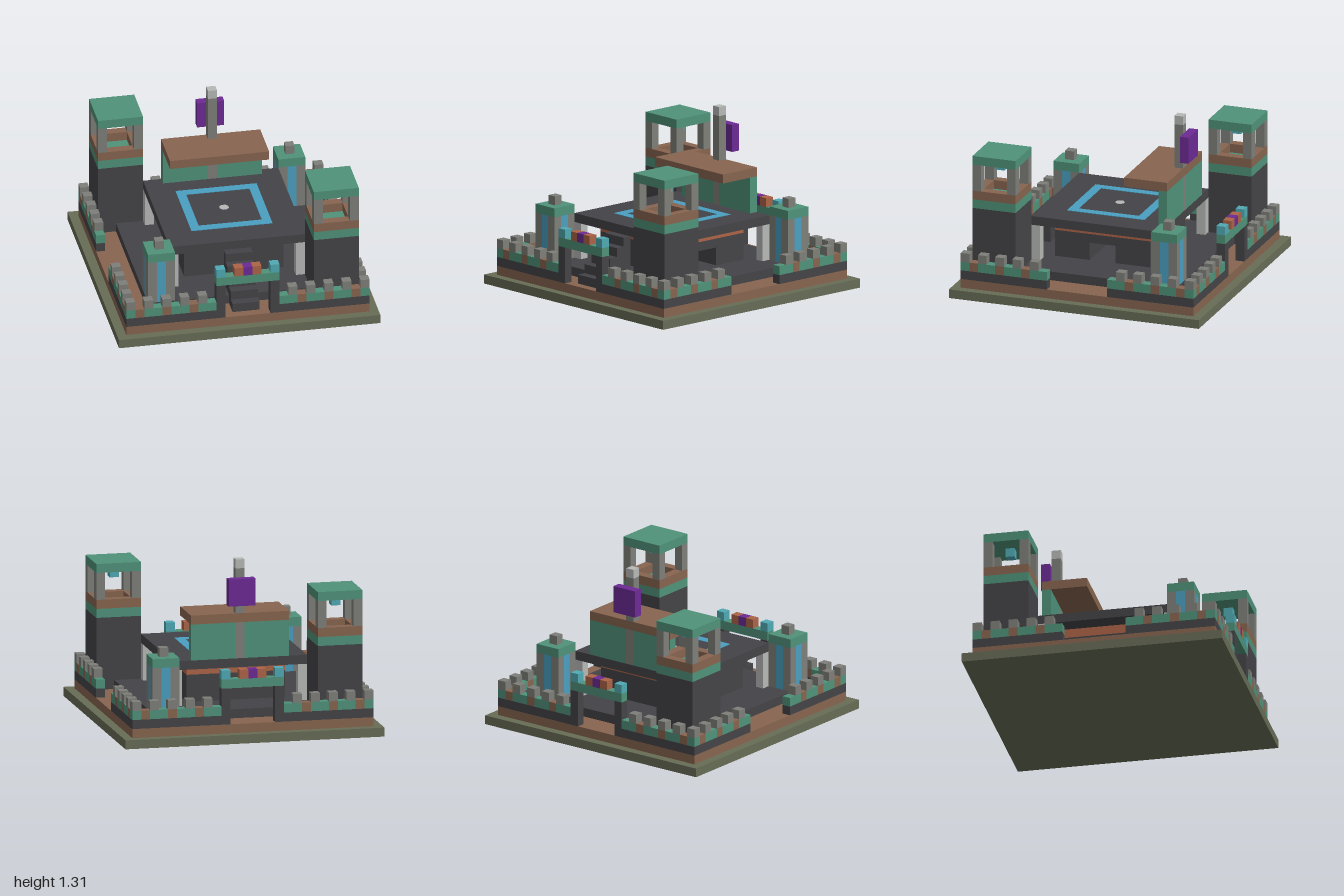
import * as THREE from 'three';

const U = 2 / 29; // one block
const COLORS = {
  olive: 0x676c56, brown: 0x87654f, charcoal: 0x444448, green: 0x4f927a, stone: 0x7e7f79,
  paleStone: 0xb7b9b7, terracotta: 0xac6447, purple: 0x6c2a94, cyan: 0x50aab4, blue: 0x4a9fc0,
};

export function createModel() {
  const model = new THREE.Group();
  model.name = 'fortress';
  const mats = {};
  for (const [name, color] of Object.entries(COLORS)) {
    mats[name] = new THREE.MeshStandardMaterial({ color });
    mats[name].name = name;
  }

  // Box given by its limits in block units
  const box = (parent, name, mat, x0, x1, y0, y1, z0, z1) => {
    const mesh = new THREE.Mesh(new THREE.BoxGeometry((x1 - x0) * U, (y1 - y0) * U, (z1 - z0) * U), mats[mat]);
    mesh.position.set((x0 + x1) / 2 * U, (y0 + y1) / 2 * U, (z0 + z1) / 2 * U);
    mesh.name = name;
    parent.add(mesh);
    return mesh;
  };
  // Square block column centred on x, z
  const column = (parent, name, mat, x, z, half, y0, y1) =>
    box(parent, name, mat, x - half, x + half, y0, y1, z - half, z + half);
  const group = (name, turn = 0) => {
    const g = new THREE.Group();
    g.name = name;
    g.rotation.y = turn;
    model.add(g);
    return g;
  };

  // Ground, foundation and courtyard floor
  column(model, 'ground', 'olive', 0, 0, 14.5, 0, 1);
  column(model, 'foundation', 'brown', 0, 0, 13.5, 1, 2);
  column(model, 'courtyardFloor', 'charcoal', 0, 0, 10.5, 2, 3);

  // Outer walls, each with an opening in the middle
  for (let side = 0; side < 4; side++) {
    const wall = group('outerWall', side * Math.PI / 2);
    box(wall, 'wallBase', 'charcoal', -13.5, -3.5, 2, 3, 12.5, 13.5);
    box(wall, 'wallBase', 'charcoal', 3.5, 12.5, 2, 3, 12.5, 13.5);
    for (let x = -13; x <= 12; x++) {
      if (Math.abs(x) < 4) continue;
      column(wall, 'wallBlock', x % 3 === 0 ? 'brown' : 'green', x, 13, 0.5, 3, 4);
      if (x % 2 !== 0) column(wall, 'merlon', 'stone', x, 13, 0.5, 4, 5);
    }
  }

  // Front and back gates
  for (const turn of [0, Math.PI]) {
    const gate = group('gate', turn);
    box(gate, 'gateBeam', 'green', -3.5, 3.5, 6, 7, 12.5, 13.5);
    column(gate, 'gateCrest', 'purple', 0, 13, 0.5, 7, 8);
    for (const s of [-1, 1]) {
      column(gate, 'gatePost', 'charcoal', 3 * s, 13, 0.5, 2, 6);
      column(gate, 'gateCrest', 'terracotta', s, 13, 0.5, 7, 8);
      column(gate, 'gateLamp', 'cyan', 3 * s, 13, 0.5, 7, 8);
    }
  }

  // Watchtowers and turrets on opposite corners
  for (const turn of [0, Math.PI]) {
    const tower = group('watchtower', turn);
    column(tower, 'towerBody', 'charcoal', 10, 10, 2.5, 2, 10);
    column(tower, 'towerBand', 'green', 10, 10, 2.5, 10, 11);
    for (const s of [-2, 2]) {
      box(tower, 'parapet', 'brown', 7.5, 12.5, 11, 12, 9.5 + s, 10.5 + s);
      box(tower, 'parapet', 'brown', 9.5 + s, 10.5 + s, 11, 12, 8.5, 11.5);
      for (const t of [-2, 2]) column(tower, 'roofPost', 'stone', 10 + s, 10 + t, 0.5, 12, 15);
    }
    column(tower, 'towerRoof', 'green', 10, 10, 2.5, 15, 16);
    column(tower, 'hangingLamp', 'cyan', 10, 10, 0.5, 14, 15);

    const turret = group('turret', turn);
    for (const s of [-1, 1]) {
      for (const t of [-1, 1]) column(turret, 'turretCorner', 'stone', -9 + s, 9 + t, 0.5, 3, 8);
      column(turret, 'turretWindow', 'blue', -9 + s, 9, 0.5, 3, 8);
      column(turret, 'turretWindow', 'blue', -9, 9 + s, 0.5, 3, 8);
    }
    column(turret, 'turretRoof', 'green', -9, 9, 1.5, 8, 9);
    column(turret, 'turretFinial', 'stone', -9, 9, 0.5, 9, 10);
  }

  // Central hall with a passage from side to side
  const hall = group('hall');
  for (const s of [-1, 1]) {
    box(hall, 'hallBlock', 'charcoal', -5.5, 5.5, 3, 5, 3.5 * s - 2, 3.5 * s + 2);
    for (const t of [-1, 1]) column(hall, 'pillar', 'paleStone', 7 * s, 7 * t, 0.5, 3, 7);
  }
  column(hall, 'hallCeiling', 'charcoal', 0, 0, 5.5, 5, 6);
  column(hall, 'hallFrieze', 'terracotta', 0, 0, 5.5, 6, 7);
  column(hall, 'platform', 'charcoal', 0, 0, 7.5, 7, 8);

  // Channel ring and centre stone set in the platform
  for (const s of [-4, 4]) {
    box(hall, 'channel', 'blue', -4.5, 4.5, 8, 8.05, s - 0.5, s + 0.5);
    box(hall, 'channel', 'blue', s - 0.5, s + 0.5, 8, 8.05, -3.5, 3.5);
  }
  const centre = new THREE.Mesh(new THREE.CylinderGeometry(0.54 * U, 0.54 * U, 0.05 * U, 8), mats.paleStone);
  centre.name = 'centreStone';
  centre.rotation.y = Math.PI / 8;
  centre.position.y = 8.025 * U;
  hall.add(centre);

  // Stairs from the front gate to the platform
  for (let i = 0; i < 5; i++) {
    box(model, 'step', 'charcoal', -1.5, 1.5, 2, 7 - i, 7.5 + i, 8.5 + i);
  }

  // Shrine wall, canopy, mast and banner
  const shrine = group('shrine');
  for (const s of [-1, 1]) box(shrine, 'shrineWall', 'green', 3 * s - 2.5, 3 * s + 2.5, 8, 12, -7.5, -6.5);
  column(shrine, 'wallColumn', 'stone', 0, -7, 0.5, 8, 12);
  box(shrine, 'canopy', 'brown', -5.5, 5.5, 12, 13, -7.5, -2.5);
  column(shrine, 'mast', 'stone', 0, -7, 0.5, 13, 18);
  column(shrine, 'mastTip', 'paleStone', 0, -7, 0.5, 18, 19);
  box(shrine, 'banner', 'purple', -1.5, 1.5, 14, 17, -8.5, -7.5);

  return model;
}
